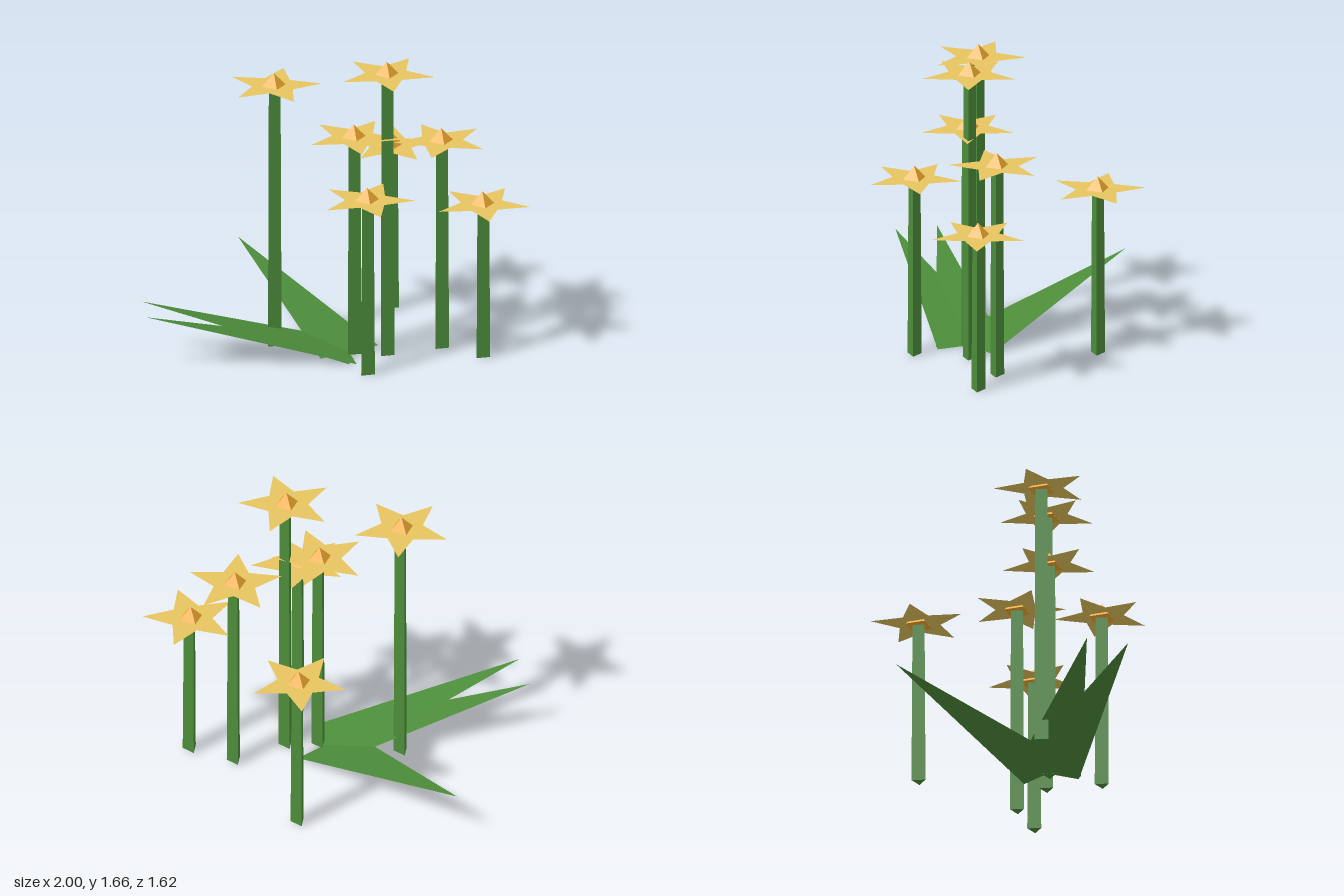
import * as THREE from 'three';

const paint = (color) => new THREE.MeshStandardMaterial({ color, flatShading: true, side: THREE.DoubleSide });

// x, z, height of the flower head's base, turn of the petals in degrees
const FLOWERS = [
  [-0.262, 0.027, 1.457, 64],
  [0.116, 0.248, 1.212, 49],
  [0.11, 0.552, 0.97, 56],
  [0.28, 0.308, 1.575, 48],
  [0.474, -0.345, 0.905, 0],
  [0.585, 0.28, 1.157, 28],
  [0.762, 0.463, 0.85, 47.6],
];

// x, z of the leaf tips
const LEAF_TIPS = [[-0.24, -0.81], [-0.965, -0.037], [-1.0, 0.187]];

// Flat five-pointed star lying in the ground plane
function petalGeometry() {
  const points = [];
  for (let i = 0; i < 10; i++) {
    const r = i % 2 ? 0.115 : 0.256, a = (i * Math.PI) / 5;
    points.push(new THREE.Vector2(r * Math.cos(a), r * Math.sin(a)));
  }
  return new THREE.ShapeGeometry(new THREE.Shape(points)).rotateX(-Math.PI / 2);
}

// Flat triangular blade from a base on the ground to a raised tip
function leafGeometry(tipX, tipZ) {
  const base = new THREE.Vector3(0.097, 0, 0.228);
  const side = new THREE.Vector3(base.z - tipZ, 0, tipX - base.x).setLength(0.18);
  const corners = [base.clone().add(side), new THREE.Vector3(tipX, 0.29, tipZ), base.clone().sub(side)];
  const geometry = new THREE.BufferGeometry().setFromPoints(corners);
  geometry.computeVertexNormals();
  return geometry;
}

export function createModel() {
  const model = new THREE.Group();
  model.name = 'flowerClump';
  const green = paint(0x4c8c3a), yellow = paint(0xe6c45e), orange = paint(0xf0aa30);

  const add = (parent, name, geometry, material, y = 0) => {
    const mesh = new THREE.Mesh(geometry, material);
    mesh.name = name;
    mesh.position.y = y;
    parent.add(mesh);
    return mesh;
  };

  const petals = petalGeometry();
  const cup = new THREE.ConeGeometry(0.077, 0.085, 4);
  for (const [x, z, height, turn] of FLOWERS) {
    const flower = new THREE.Group();
    flower.name = 'flower';
    flower.position.set(x, 0, z);
    // Three-sided tapered stem with a flat side to the front
    const stem = new THREE.CylinderGeometry(0.037, 0.043, height, 3).rotateY(Math.PI);
    add(flower, 'stem', stem, green, height / 2);
    add(flower, 'petals', petals, yellow, height + 0.014).rotation.y = THREE.MathUtils.degToRad(turn);
    add(flower, 'cup', cup, orange, height + 0.0425);
    model.add(flower);
  }

  for (const [x, z] of LEAF_TIPS) add(model, 'leaf', leafGeometry(x, z), green);

  return model;
}
